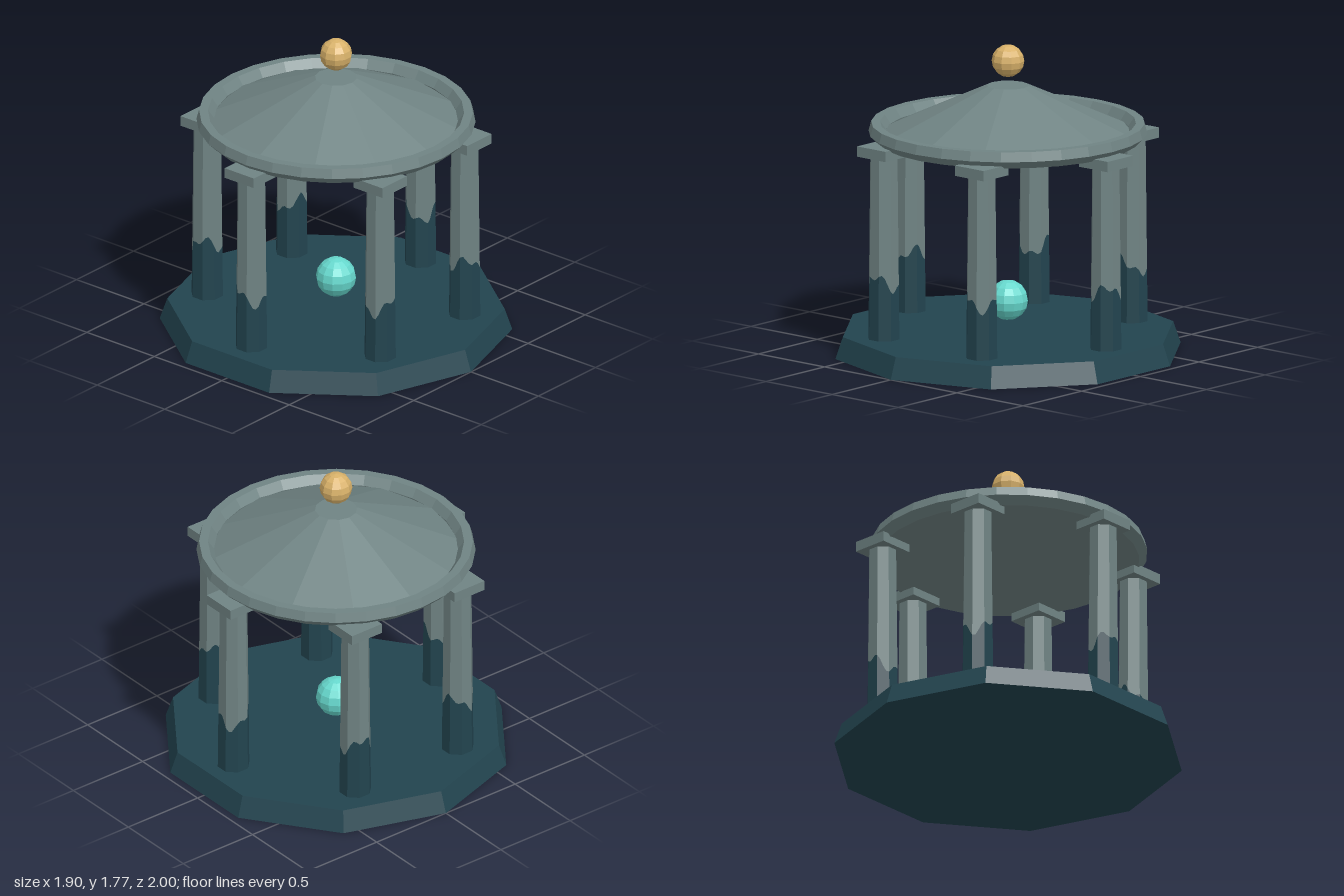
import * as THREE from 'three';

const stone = new THREE.MeshStandardMaterial({ color: 0x708484, flatShading: true });
stone.name = 'greyStone';
const teal = new THREE.MeshStandardMaterial({ color: 0x22444f, flatShading: true });
teal.name = 'darkTeal';
const gold = new THREE.MeshStandardMaterial({ color: 0xd8b169, flatShading: true });
gold.name = 'gold';
const aqua = new THREE.MeshStandardMaterial({ color: 0x66d8cd, flatShading: true });
aqua.name = 'aqua';

const FOOT = 0.12, HEAD = 1.19;

function add(parent, name, geometry, material, x = 0, y = 0, z = 0) {
  const mesh = new THREE.Mesh(geometry, material);
  mesh.name = name;
  mesh.position.set(x, y, z);
  parent.add(mesh);
  return mesh;
}

// Octagonal tapering shaft section between two heights, each a function of angle
function shaft(low, high) {
  const g = new THREE.CylinderGeometry(1, 1, 1, 32, 1, true);
  const p = g.attributes.position;
  const side = Math.PI / 4;
  for (let i = 0; i < p.count; i++) {
    const a = Math.atan2(p.getX(i), p.getZ(i));
    const y = p.getY(i) > 0 ? high(a) : low(a);
    const t = (y - FOOT) / (HEAD - FOOT);
    const off = a - Math.round(a / side) * side;
    const r = (0.086 - 0.011 * t) / Math.cos(off);
    p.setXYZ(i, Math.sin(a) * r, y, Math.cos(a) * r);
  }
  g.computeVertexNormals();
  return g;
}

function column(index) {
  const group = new THREE.Group();
  group.name = 'column' + (index + 1);
  // Wavy line where the stained foot meets bare stone
  const seam = a => 0.455 + 0.045 * Math.sin(2 * a + index * 1.9) + 0.025 * Math.sin(5 * a + index * 2.7);
  add(group, 'stainedShaft', shaft(() => FOOT, seam), teal);
  add(group, 'stoneShaft', shaft(seam, () => HEAD), stone);
  add(group, 'capital', new THREE.BoxGeometry(0.215, 0.06, 0.215), stone, 0, 1.21, 0);
  const a = Math.PI / 2 + index * Math.PI / 3;
  group.position.set(0.74 * Math.sin(a), 0, 0.74 * Math.cos(a));
  return group;
}

export function createModel() {
  const model = new THREE.Group();
  model.name = 'pavilion';

  // Ten-sided platform
  add(model, 'platform', new THREE.CylinderGeometry(0.957, 1, 0.125, 10), teal, 0, 0.0625, 0);

  for (let i = 0; i < 6; i++) model.add(column(i));

  // Rim around the roof, bevelled in section
  const rim = [[0.7, 1.23], [0.745, 1.225], [0.79, 1.27], [0.775, 1.325],
    [0.725, 1.325], [0.69, 1.275], [0.7, 1.23]].map(([x, y]) => new THREE.Vector2(x, y));
  add(model, 'roofRim', new THREE.LatheGeometry(rim, 28), stone);

  // Truncated cone roof and flat ceiling
  add(model, 'roof', new THREE.CylinderGeometry(0.12, 0.72, 0.275, 12), stone, 0, 1.4025, 0);
  add(model, 'ceiling', new THREE.CylinderGeometry(0.735, 0.735, 0.03, 28), stone, 0, 1.243, 0);

  // Floating spheres above the roof and over the floor
  add(model, 'finial', new THREE.SphereGeometry(0.093, 10, 8), gold, 0, 1.682, 0);
  add(model, 'orb', new THREE.SphereGeometry(0.115, 12, 8), aqua, 0, 0.295, 0);

  return model;
}
